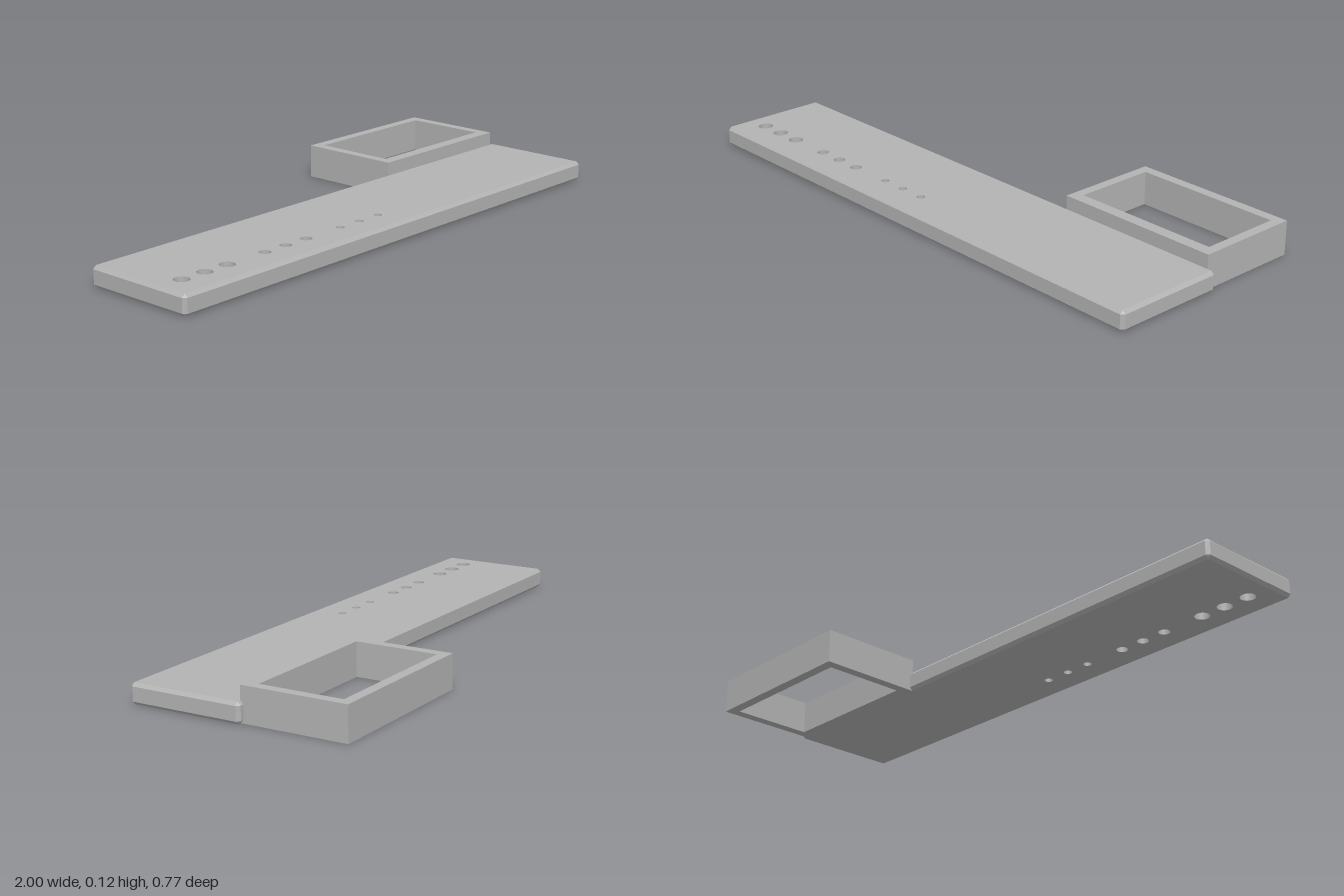
import * as THREE from 'three';

const grey = new THREE.MeshStandardMaterial({ color: 0xb3b3b3 });
grey.name = 'plain grey';

// Closed outline in the ground plane, given as [x, z] corners
const outline = (points) => new THREE.Shape(points.map(([x, z]) => new THREE.Vector2(x, z)));

// Stand an outline up from y = 0 to the given height
function slab(shape, height, steps = 1) {
  const geometry = new THREE.ExtrudeGeometry(shape, { depth: height, steps, bevelEnabled: false, curveSegments: 16 });
  return geometry.rotateX(Math.PI / 2).translate(0, height, 0);
}

// Flat bar with every edge chamfered and three groups of through holes
function createPlate() {
  const c = 0.011, h = 0.07, x = 1, z0 = -0.022, z1 = 0.384;
  const shape = outline([
    [-x + c, z0], [x - c, z0], [x, z0 + c], [x, z1 - c],
    [x - c, z1], [-x + c, z1], [-x, z1 - c], [-x, z0 + c],
  ]);
  const holeGroups = [
    { start: -0.909, radius: 0.026 },
    { start: -0.56, radius: 0.02 },
    { start: -0.212, radius: 0.0145 },
  ];
  for (const { start, radius } of holeGroups) {
    for (let i = 0; i < 3; i++) {
      shape.holes.push(new THREE.Path().absarc(start + i * 0.0935, 0.276, radius, 0, Math.PI * 2, true));
    }
  }
  // Pull the end layers inward and the middle layers out to the chamfer lines
  const geometry = slab(shape, h, 3);
  const p = geometry.attributes.position;
  for (let i = 0; i < p.count; i++) {
    const layer = Math.round(p.getY(i) / h * 3);
    p.setY(i, [0, c, h - c, h][layer]);
    if (layer === 0 || layer === 3) {
      p.setX(i, THREE.MathUtils.clamp(p.getX(i), -x + c, x - c));
      p.setZ(i, THREE.MathUtils.clamp(p.getZ(i), z0 + c, z1 - c));
    }
  }
  geometry.computeVertexNormals();
  return geometry;
}

// Taller rectangular frame, open through the middle
function createFrame() {
  const rect = (x0, x1, z0, z1) => [[x0, z0], [x1, z0], [x1, z1], [x0, z1]];
  const shape = outline(rect(0.37, 0.975, -0.384, -0.011));
  shape.holes.push(outline(rect(0.405, 0.94, -0.348, -0.054)));
  return slab(shape, 0.118);
}

export function createModel() {
  const model = new THREE.Group();
  const parts = { drilledPlate: createPlate(), sideFrame: createFrame() };
  for (const [name, geometry] of Object.entries(parts)) {
    const mesh = new THREE.Mesh(geometry, grey);
    mesh.name = name;
    model.add(mesh);
  }
  return model;
}
